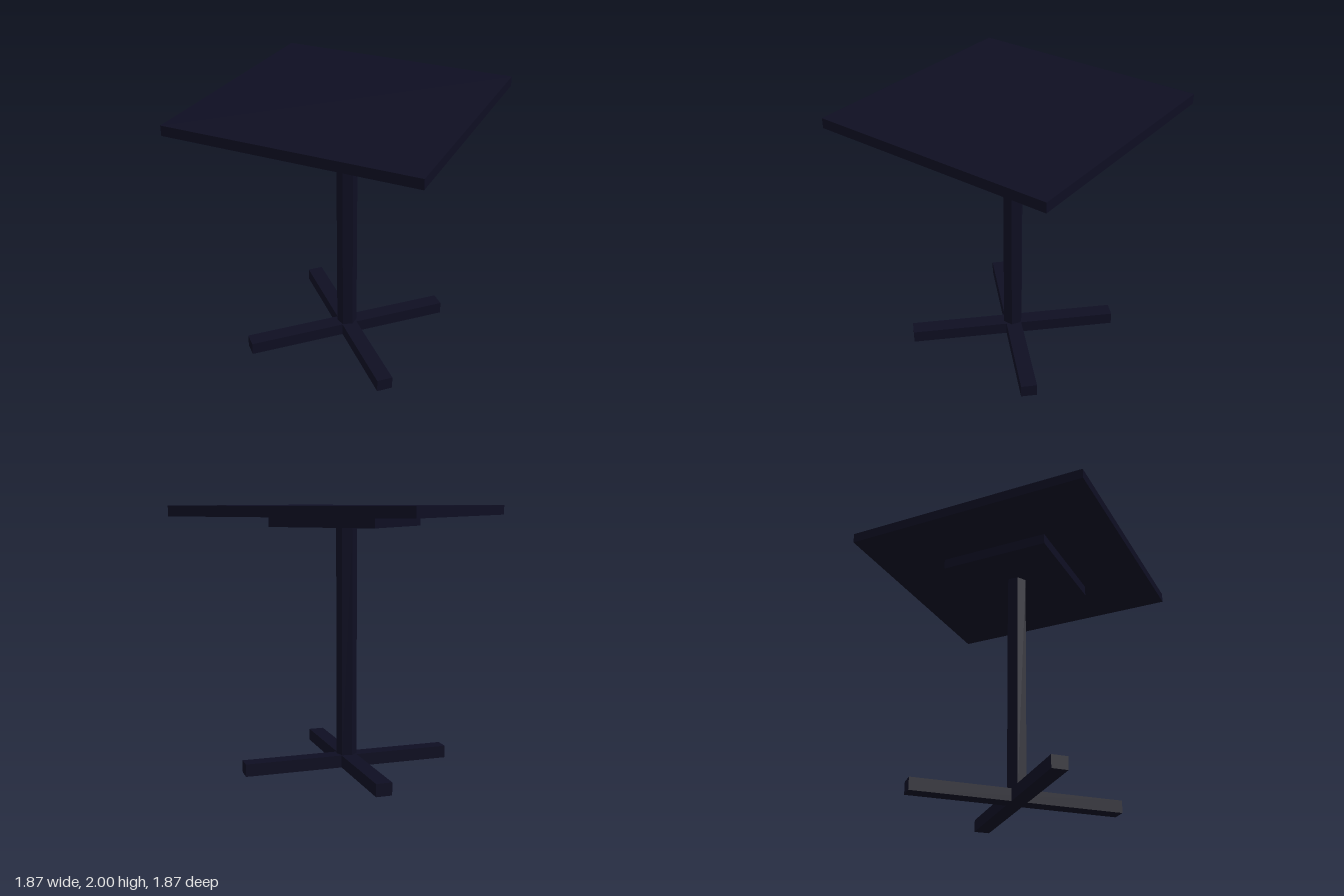
import * as THREE from 'three';

export function createModel() {
  const group = new THREE.Group();
  const darkNavy = new THREE.MeshStandardMaterial({ color: 0x0e0e22 });
  darkNavy.name = 'darkNavy';

  const add = (name, geometry, y, turn = 0) => {
    const mesh = new THREE.Mesh(geometry, darkNavy);
    mesh.name = name;
    mesh.position.y = y;
    mesh.rotation.y = turn;
    group.add(mesh);
  };

  // Square top with a smaller mounting plate beneath it
  add('tableTop', new THREE.BoxGeometry(1.87, 0.075, 1.87), 1.9625);
  add('mountingPlate', new THREE.BoxGeometry(0.85, 0.08, 0.85), 1.885);

  // Six-sided column, faceted, with corners pointing to the front and back
  const column = new THREE.CylinderGeometry(0.078, 0.078, 1.755, 6).toNonIndexed();
  column.computeVertexNormals();
  add('column', column, 0.9675);

  // Two diagonal bars crossing under the column
  for (const side of [-1, 1]) {
    add(side < 0 ? 'rightFootBar' : 'leftFootBar',
      new THREE.BoxGeometry(1.62, 0.095, 0.12), 0.0475, side * Math.PI / 4);
  }

  return group;
}
